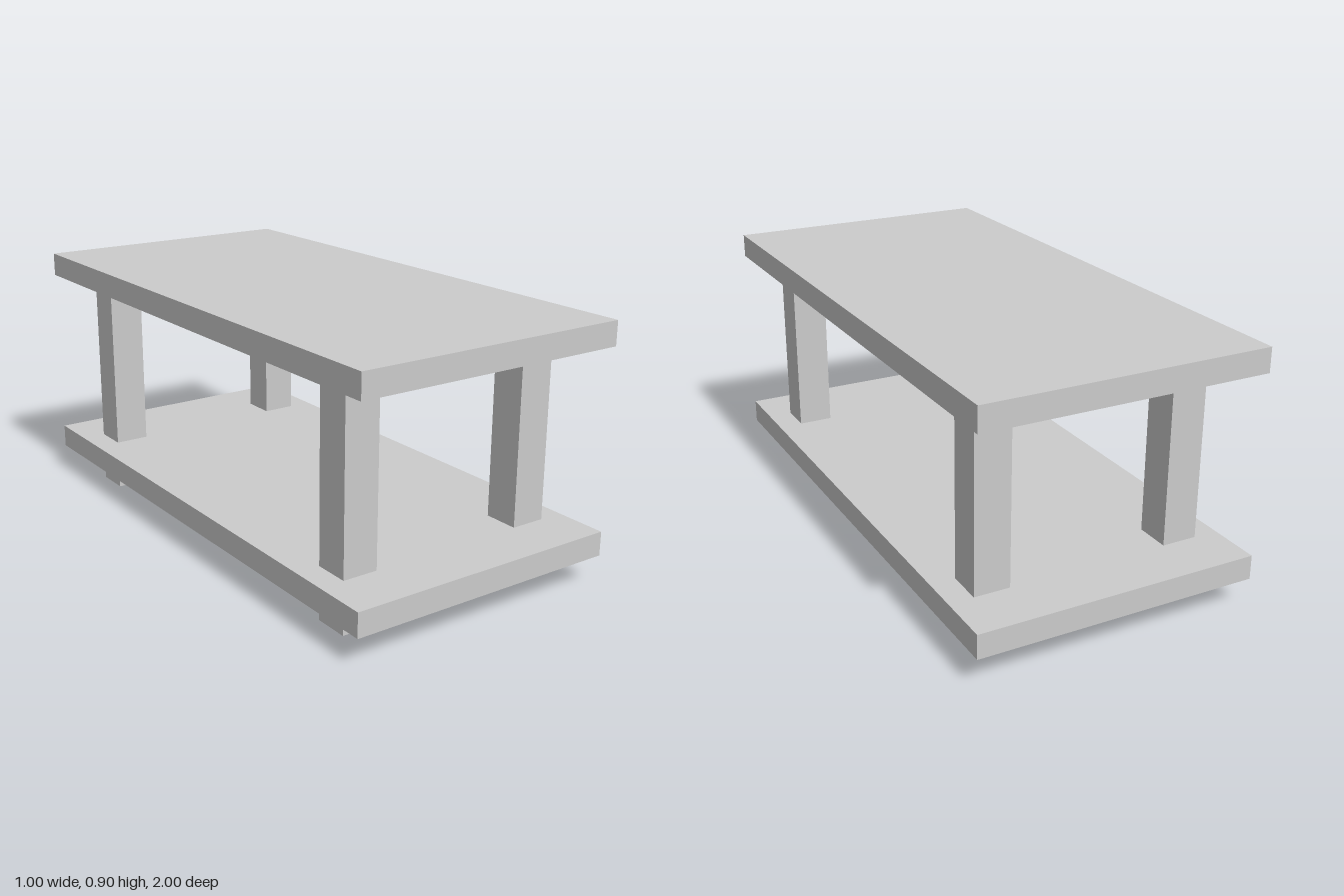
import * as THREE from 'three';

const WIDTH = 1, DEPTH = 2, BOARD = 0.085;
const LEG = 0.126, LEG_HEIGHT = 0.815;

export function createModel() {
  const group = new THREE.Group();
  group.name = 'coffeeTable';
  const boardMaterial = new THREE.MeshStandardMaterial({ color: 0xcccccc, flatShading: true });
  const legMaterial = new THREE.MeshStandardMaterial({
    color: 0xcccccc, flatShading: true, side: THREE.DoubleSide,
  });

  // Table top and lower shelf, placed by their underside
  const boardGeometry = new THREE.BoxGeometry(WIDTH, BOARD, DEPTH);
  for (const [name, bottom] of [['tableTop', LEG_HEIGHT], ['lowerShelf', 0.1]]) {
    const board = new THREE.Mesh(boardGeometry, boardMaterial);
    board.name = name;
    board.position.y = bottom + BOARD / 2;
    group.add(board);
  }

  // Four square hollow legs, open at the foot, running through the shelf
  const radius = LEG / Math.SQRT2;
  const legGeometry = new THREE.CylinderGeometry(radius, radius, LEG_HEIGHT, 4, 1, true);
  legGeometry.rotateY(Math.PI / 4);
  for (const [endName, z] of [['front', 0.75], ['back', -0.75]]) {
    for (const [sideName, x] of [['Left', 0.35], ['Right', -0.35]]) {
      const leg = new THREE.Mesh(legGeometry, legMaterial);
      leg.name = `${endName}${sideName}Leg`;
      leg.position.set(x, LEG_HEIGHT / 2, z);
      group.add(leg);
    }
  }
  return group;
}
